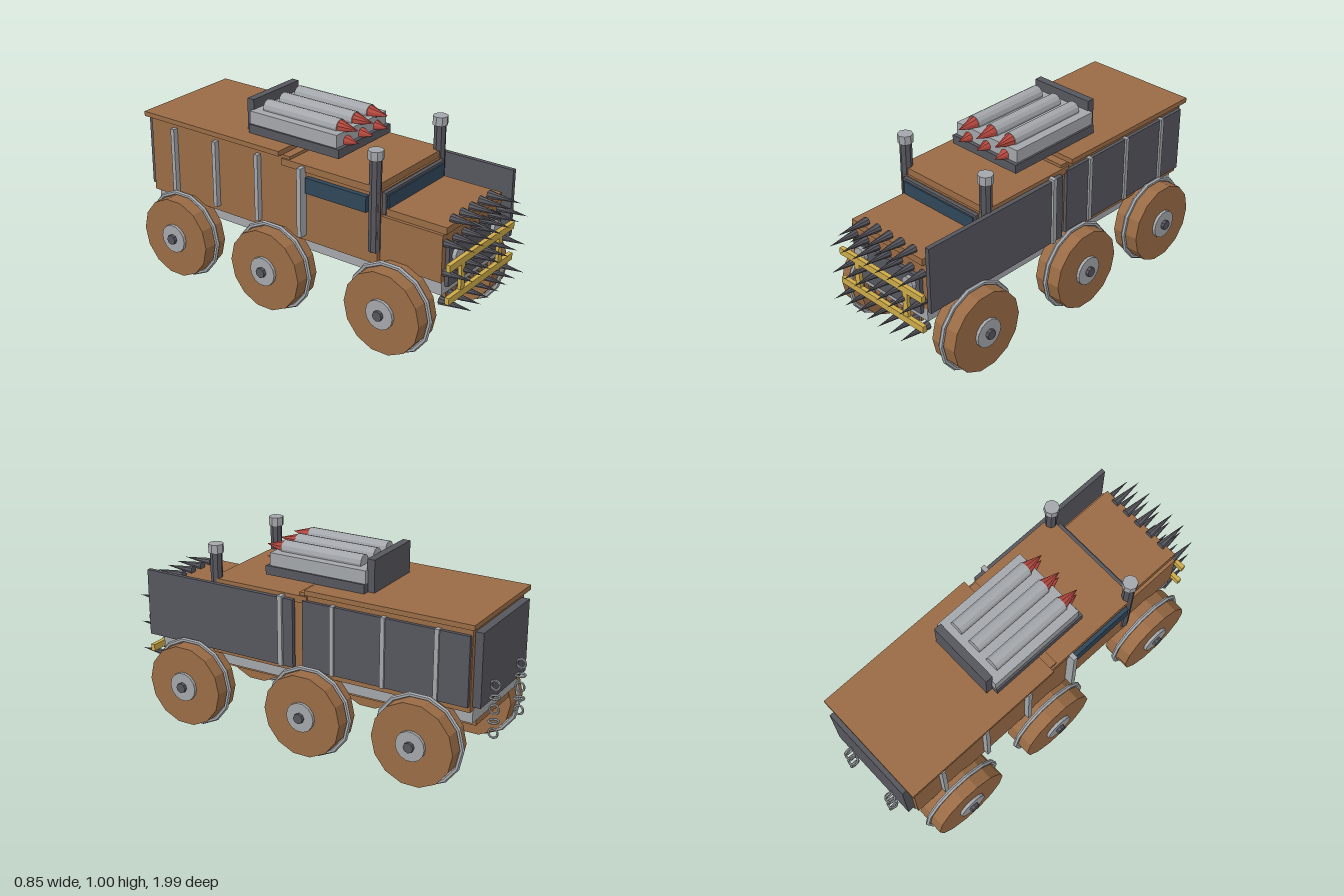
import * as THREE from 'three';

const mat = (color) => new THREE.MeshStandardMaterial({ color, flatShading: true });

export function createModel() {
  const model = new THREE.Group();
  model.name = 'armouredTruck';
  const rust = mat(0x996b45), dark = mat(0x55555d), steel = mat(0xa3a6aa);
  const yellow = mat(0xccaa48), glass = mat(0x2f4659), red = mat(0xb5483f);

  const add = (name, geo, m, x = 0, y = 0, z = 0, parent = model) => {
    const mesh = new THREE.Mesh(geo, m);
    mesh.name = name;
    mesh.position.set(x, y, z);
    parent.add(mesh);
    return mesh;
  };
  // Box given by its min and max on each axis
  const box = (name, m, x0, x1, y0, y1, z0, z1) =>
    add(name, new THREE.BoxGeometry(x1 - x0, y1 - y0, z1 - z0), m, (x0 + x1) / 2, (y0 + y1) / 2, (z0 + z1) / 2);
  // Box centred on x = 0
  const slab = (name, m, w, y0, y1, z0, z1) => box(name, m, -w, w, y0, y1, z0, z1);
  // Box on one side, from inner to outer distance
  const sideBox = (name, m, s, x0, x1, y0, y1, z0, z1) =>
    box(name, m, Math.min(s * x0, s * x1), Math.max(s * x0, s * x1), y0, y1, z0, z1);
  const alongX = (r, h, n) => new THREE.CylinderGeometry(r, r, h, n).rotateZ(Math.PI / 2);
  const alongZ = (r, h, n) => new THREE.CylinderGeometry(r, r, h, n).rotateX(Math.PI / 2);
  const coneZ = (r, h, n) => new THREE.ConeGeometry(r, h, n).rotateX(Math.PI / 2);

  // Chassis and bodywork
  slab('underbody', rust, 0.185, 0.305, 0.345, -0.9, 0.82);
  slab('chassisRail', steel, 0.248, 0.345, 0.41, -0.91, 0.835);
  slab('cargoBody', rust, 0.28, 0.41, 0.82, -0.91, -0.01);
  slab('cargoRoof', rust, 0.31, 0.82, 0.845, -0.93, -0.055);
  slab('cabBody', rust, 0.28, 0.41, 0.77, -0.01, 0.5);
  slab('cabRoof', rust, 0.29, 0.77, 0.805, -0.055, 0.49);
  slab('rearPlate', dark, 0.255, 0.43, 0.795, -0.95, -0.91);

  // Engine bay and windscreen
  slab('engineBay', rust, 0.255, 0.41, 0.65, 0.5, 0.835);
  slab('hood', rust, 0.238, 0.65, 0.685, 0.5, 0.845);
  slab('windscreenFrame', dark, 0.245, 0.655, 0.765, 0.49, 0.52);
  slab('windscreen', glass, 0.232, 0.68, 0.752, 0.51, 0.528);
  slab('grille', dark, 0.225, 0.385, 0.585, 0.8, 0.855);

  // Bull bar
  slab('bullBarTop', yellow, 0.283, 0.495, 0.53, 0.875, 0.897);
  slab('bullBarBottom', yellow, 0.283, 0.33, 0.365, 0.875, 0.897);

  // Spike rows: height, count, spacing
  const spike = coneZ(0.022, 0.17, 8);
  for (const [y, n, step] of [[0.697, 5, 0.08], [0.605, 7, 0.077], [0.458, 7, 0.077], [0.31, 7, 0.077]]) {
    for (let i = 0; i < n; i++) add('spike', spike, dark, (i - (n - 1) / 2) * step, y, 0.905);
  }

  // Armour on the left flank only
  box('frontArmour', dark, 0.29, 0.313, 0.44, 0.785, 0.01, 0.87);
  box('rearArmour', dark, 0.278, 0.298, 0.44, 0.785, -0.905, -0.035);

  const ringGeo = new THREE.TorusGeometry(0.222, 0.012, 6, 14).rotateY(Math.PI / 2);
  const linkGeo = new THREE.TorusGeometry(0.023, 0.006, 6, 12);

  for (const s of [-1, 1]) {
    // Side windows, ribs and bull bar uprights
    sideBox('sideWindow', glass, s, 0.275, s < 0 ? 0.305 : 0.285, 0.67, 0.75, 0.1, 0.45);
    sideBox('cabRib', steel, s, 0.27, 0.325, 0.44, 0.797, 0.064, 0.088);
    for (const z of [-0.2, -0.47, -0.745]) sideBox('cargoRib', steel, s, 0.275, 0.308, 0.44, 0.79, z - 0.011, z + 0.011);
    sideBox('bullBarUpright', yellow, s, 0.15, 0.181, 0.365, 0.495, 0.877, 0.895);
    add('headlight', alongZ(0.037, 0.03, 14), steel, s * 0.165, 0.533, 0.86);

    // Exhaust stacks
    add('exhaustPipe', new THREE.CylinderGeometry(0.03, 0.03, 0.46, 8), dark, s * 0.266, 0.7, 0.475);
    add('exhaustCap', new THREE.CylinderGeometry(0.038, 0.038, 0.045, 8), steel, s * 0.266, 0.953, 0.475);

    // Wheels with rim ring, hub and axle cap
    for (const z of [0.605, -0.087, -0.677]) {
      const wheel = new THREE.Group();
      wheel.name = 'wheel';
      wheel.position.set(0, 0.237, z);
      model.add(wheel);
      add('tyre', alongX(0.21, 0.145, 14), rust, s * 0.322, 0, 0, wheel);
      add('treadRing', ringGeo, steel, s * 0.32, 0, 0, wheel);
      add('hub', alongX(0.075, 0.02, 14), steel, s * 0.4, 0, 0, wheel);
      add('axleCap', alongX(0.026, 0.05, 8), dark, s * 0.402, 0, 0, wheel);
    }

    // Hanging chains with alternating links
    for (let i = 0; i < 5; i++) {
      const link = add('chainLink', linkGeo, steel, s * 0.147, 0.51 - i * 0.06, -0.97);
      if (i % 2) link.rotation.x = Math.PI / 2;
      else link.rotation.y = Math.PI / 2;
    }
  }

  // Rocket launcher
  slab('launcherBase', dark, 0.21, 0.845, 0.89, -0.32, 0.225);
  slab('launcherBox', steel, 0.2, 0.89, 0.955, -0.32, 0.205);
  slab('launcherBackPlate', dark, 0.175, 0.845, 1.006, -0.355, -0.315);
  for (const x of [-0.12, 0, 0.12]) {
    add('launchTube', alongZ(0.038, 0.44, 12), steel, x, 0.966, -0.05);
    add('upperWarhead', coneZ(0.034, 0.105, 10), red, x, 0.968, 0.22);
    add('lowerWarhead', coneZ(0.028, 0.07, 10), red, x, 0.905, 0.238);
  }
  return model;
}
